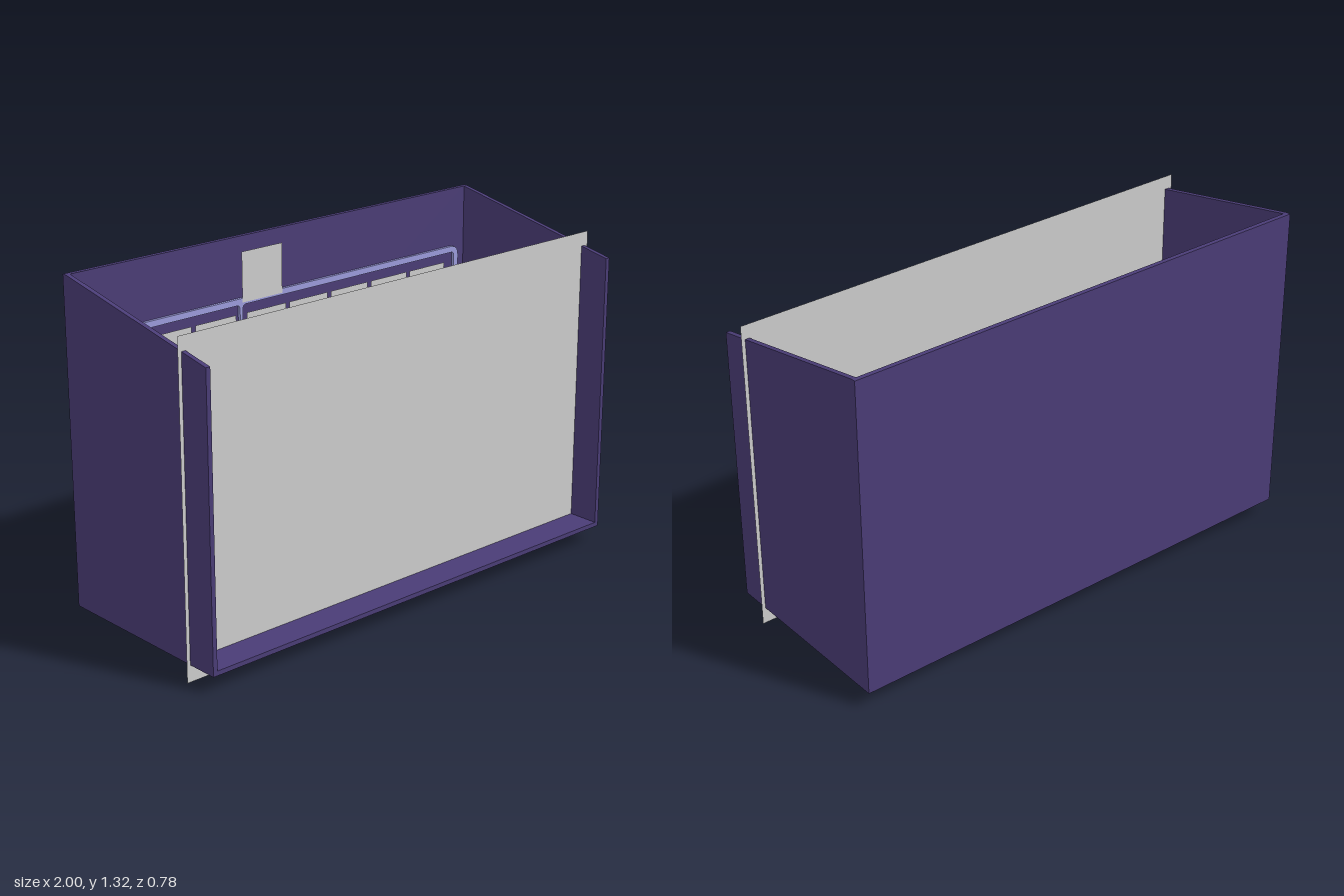
import * as THREE from 'three';

const material = (name, color, side = THREE.FrontSide) => {
  const m = new THREE.MeshStandardMaterial({ color, side });
  m.name = name;
  return m;
};

// Rectangle path with rounded corners, usable as outline or hole
function roundedRect(path, x0, y0, x1, y1, r) {
  path.moveTo(x0 + r, y0);
  path.lineTo(x1 - r, y0);
  path.quadraticCurveTo(x1, y0, x1, y0 + r);
  path.lineTo(x1, y1 - r);
  path.quadraticCurveTo(x1, y1, x1 - r, y1);
  path.lineTo(x0 + r, y1);
  path.quadraticCurveTo(x0, y1, x0, y1 - r);
  path.lineTo(x0, y0 + r);
  path.quadraticCurveTo(x0, y0, x0 + r, y0);
  return path;
}

export function createModel() {
  const purple = material('deep purple', 0x4a3c76);
  const lavender = material('lavender', 0x9c9cdc);
  const grey = material('light grey', 0xcccccc, THREE.DoubleSide);

  const model = new THREE.Group();
  model.name = 'displayCase';
  const add = (name, geometry, mat, x = 0, y = 0, z = 0, parent = model) => {
    const mesh = new THREE.Mesh(geometry, mat);
    mesh.name = name;
    mesh.position.set(x, y, z);
    parent.add(mesh);
    return mesh;
  };

  // Case: floor, back and two side walls with sloping tops
  const W = 0.985, T = 0.018, D = 0.39, base = 0.065;
  add('floor', new THREE.BoxGeometry(2 * (W - T), T, 2 * D), purple, 0, base + T / 2, 0);
  const backHeight = 1.32 - base - T;
  add('backWall', new THREE.BoxGeometry(2 * (W - T), backHeight, T), purple,
    0, base + T + backHeight / 2, -D + T / 2);

  // Side profile, drawn with depth running towards the back
  const profile = new THREE.Shape([[-D, base], [D, base], [D, 1.32], [D - T, 1.32], [-D, 1.17]]
    .map(([z, y]) => new THREE.Vector2(z, y)));
  const sideGeometry = new THREE.ExtrudeGeometry(profile, { depth: T, bevelEnabled: false });
  sideGeometry.rotateY(Math.PI / 2);
  add('rightWall', sideGeometry, purple, -W);
  add('leftWall', sideGeometry, purple, W - T);

  // Thin front panel, slightly wider than the case
  add('frontPanel', new THREE.PlaneGeometry(2, 1.25), grey, 0, 0.625, 0.264);

  // Rounded frame with a divider on the inside of the back wall
  const X = 0.925, top = 1.085, bottom = 0.13, bar = 0.024, divider = -0.217;
  const outline = roundedRect(new THREE.Shape(), -X, bottom, X, top, 0.04);
  outline.holes.push(
    roundedRect(new THREE.Path(), -X + bar, bottom + bar, divider - 0.007, top - bar, 0.016),
    roundedRect(new THREE.Path(), divider + 0.007, bottom + bar, X - bar, top - bar, 0.016));
  const frameGeometry = new THREE.ExtrudeGeometry(outline,
    { depth: 0.012, bevelEnabled: false, curveSegments: 5 });
  add('boardFrame', frameGeometry, lavender, 0, 0, -0.371);

  // Rows of square cards: three left of the divider, five right of it
  const cards = new THREE.Group();
  cards.name = 'cards';
  model.add(cards);
  const size = 0.193, step = 0.211;
  const cardGeometry = new THREE.PlaneGeometry(size, size);
  for (let row = 0; row < 4; row++) {
    for (let col = 0; col < 8; col++) {
      const left = col < 3 ? -0.857 + col * step : -0.19 + (col - 3) * step;
      add('card', cardGeometry, grey, left + size / 2, 1.025 - size / 2 - row * step, -0.361, cards);
    }
  }

  // Single raised card standing above the frame
  add('raisedCard', new THREE.PlaneGeometry(0.195, 0.195), grey, -0.117, 1.167, -0.356);

  return model;
}
